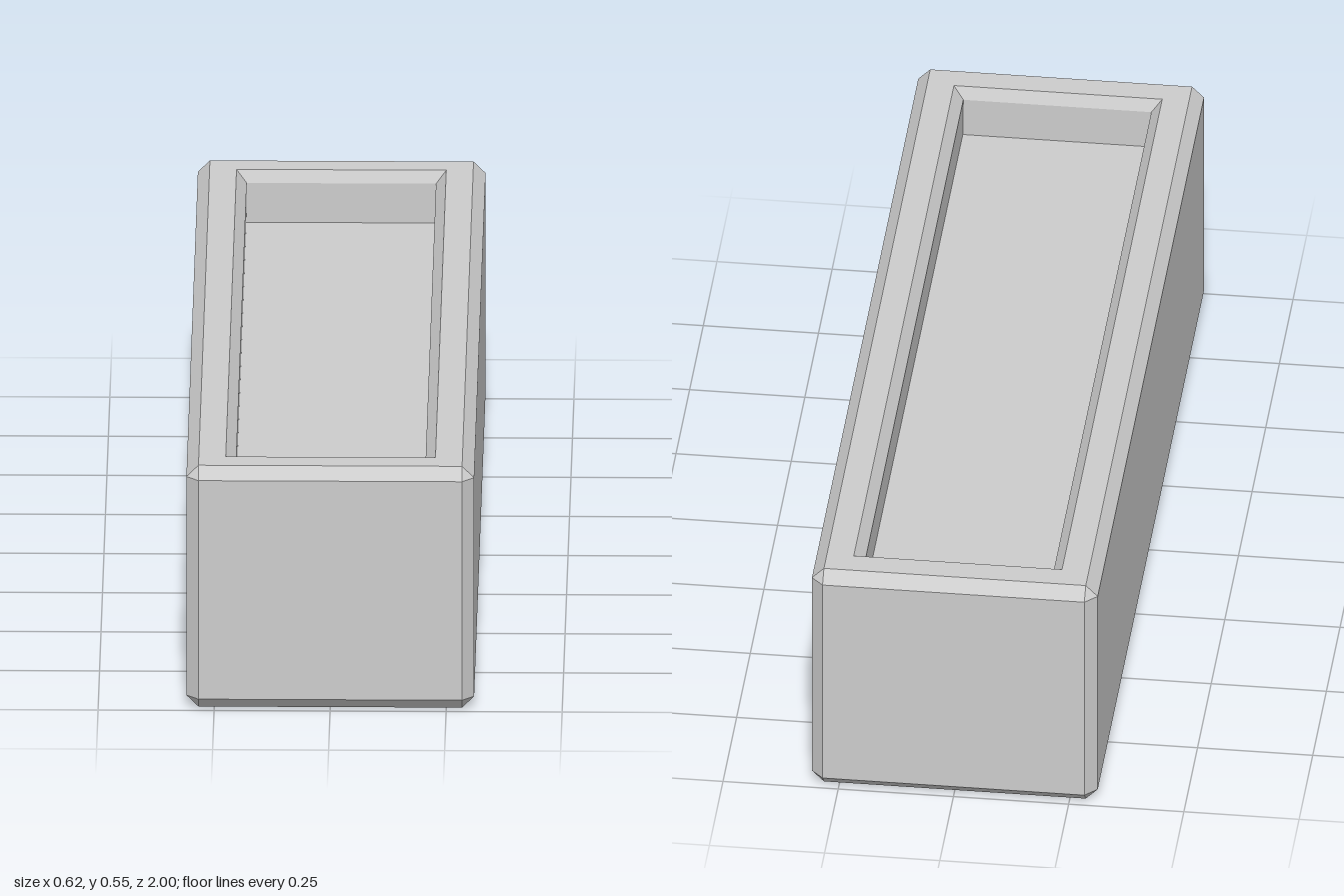
import * as THREE from 'three';

// Rectangular ring with cut corners, counter-clockwise seen from above
function ring(hx, hz, cut, y) {
  return [
    [hx, hz - cut], [hx, cut - hz], [hx - cut, -hz], [cut - hx, -hz],
    [-hx, cut - hz], [-hx, hz - cut], [cut - hx, hz], [hx - cut, hz],
  ].map(([x, z]) => new THREE.Vector3(x, y, z));
}

// Joins successive rings with flat faces; optional caps on the first and last ring
function loft(rings, capFirst, capLast) {
  const points = [];
  const tri = (a, b, c) => {
    const area = b.clone().sub(a).cross(c.clone().sub(a)).length();
    if (area > 1e-8) points.push(a, b, c);
  };
  for (let r = 0; r < rings.length - 1; r++) {
    const low = rings[r], high = rings[r + 1];
    for (let i = 0; i < 8; i++) {
      const j = (i + 1) % 8;
      tri(low[i], low[j], high[j]);
      tri(low[i], high[j], high[i]);
    }
  }
  const last = rings[rings.length - 1];
  for (let i = 1; i < 7; i++) {
    if (capFirst) tri(rings[0][0], rings[0][i + 1], rings[0][i]);
    if (capLast) tri(last[0], last[i], last[i + 1]);
  }
  const geometry = new THREE.BufferGeometry().setFromPoints(points);
  geometry.computeVertexNormals();
  return geometry;
}

export function createModel() {
  const group = new THREE.Group();
  group.name = 'planterBox';
  const grey = new THREE.MeshStandardMaterial({ color: 0xcccccc, flatShading: true });
  grey.name = 'stoneGrey';

  const add = (name, geometry) => {
    const mesh = new THREE.Mesh(geometry, grey);
    mesh.name = name;
    group.add(mesh);
  };

  const W = 0.31, L = 1, H = 0.552, B = 0.026;
  const rimOuter = ring(W - B, L - B, 0, H);
  const rimInner = ring(0.226, 0.918, 0, H);
  const lip = ring(0.204, 0.904, 0, H - B);

  // Bevelled outer block, closed underneath
  add('body', loft([
    ring(W - B, L - B, 0, 0), ring(W, L, B, B), ring(W, L, B, H - B), rimOuter,
  ], true, false));

  // Flat rim around the opening
  add('rim', loft([rimOuter, rimInner], false, false));

  // Recess with a sloped lip, upright walls and a floor
  add('recess', loft([rimInner, lip, ring(0.205, 0.904, 0, 0.436)], false, true));

  return group;
}
